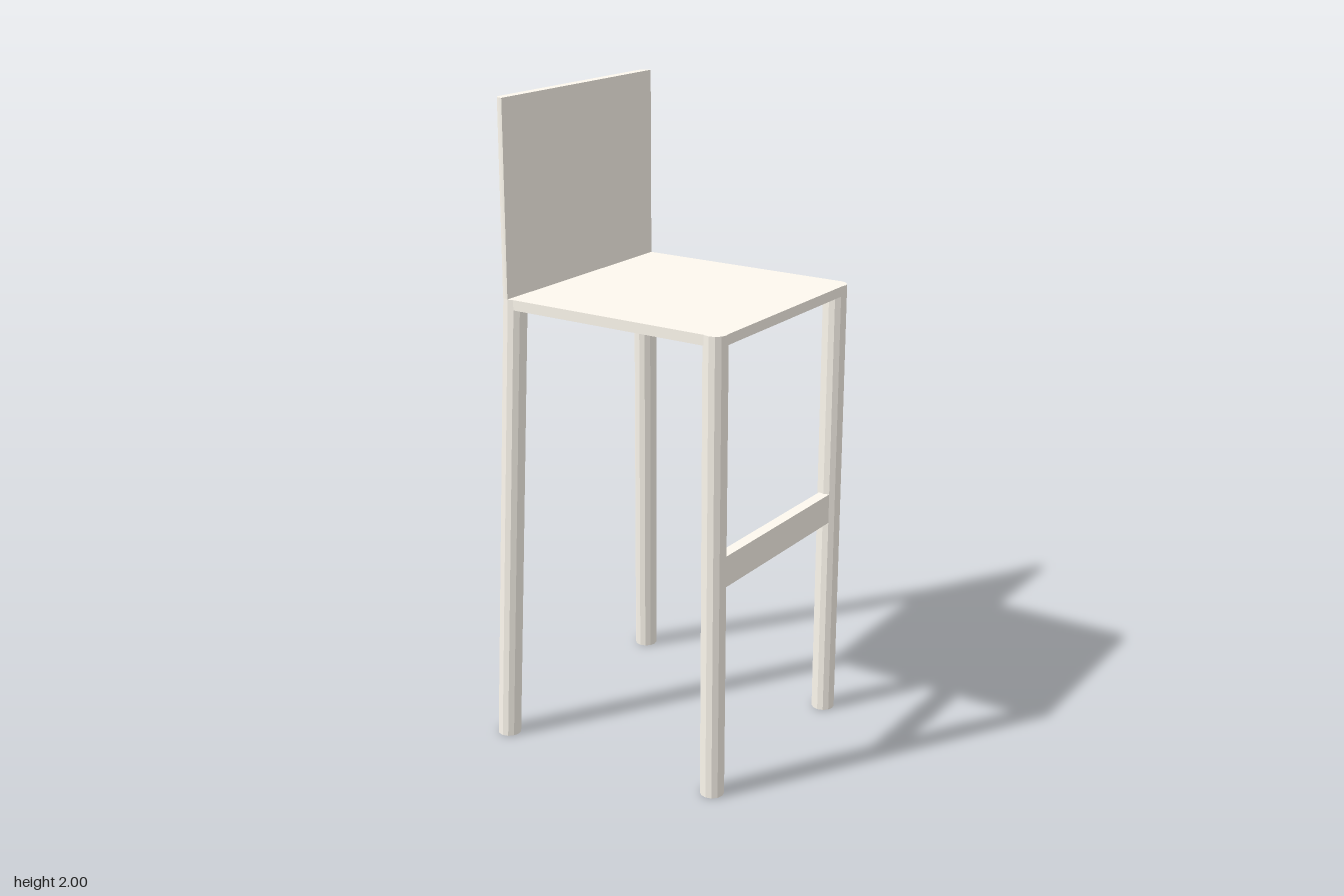
import * as THREE from 'three';

const R = 0.036, SEAT_BOTTOM = 1.385, SEAT_TOP = 1.416;

export function createModel() {
  const model = new THREE.Group();
  const color = 0xfdf8ee;
  const mat = new THREE.MeshStandardMaterial({ color });
  const legMat = new THREE.MeshStandardMaterial({ color, flatShading: true });

  const add = (name, geo, material = mat) => {
    const mesh = new THREE.Mesh(geo, material);
    mesh.name = name;
    model.add(mesh);
  };

  // Flat outline in x/z with rounded corners (back pair, front pair), raised from y0 to y1
  const slab = (x0, x1, z0, z1, rBack, rFront, y0, y1) => {
    const s = new THREE.Shape();
    const a = -z1, b = -z0; // shape y becomes -z once laid flat
    s.moveTo(x0 + rBack, a);
    s.lineTo(x1 - rFront, a);
    if (rFront) s.absarc(x1 - rFront, a + rFront, rFront, -Math.PI / 2, 0);
    s.lineTo(x1, b - rFront);
    if (rFront) s.absarc(x1 - rFront, b - rFront, rFront, 0, Math.PI / 2);
    s.lineTo(x0 + rBack, b);
    s.absarc(x0 + rBack, b - rBack, rBack, Math.PI / 2, Math.PI);
    s.lineTo(x0, a + rBack);
    s.absarc(x0 + rBack, a + rBack, rBack, Math.PI, Math.PI * 1.5);
    const geo = new THREE.ExtrudeGeometry(s, { depth: y1 - y0, bevelEnabled: false, curveSegments: 4 });
    return geo.rotateX(-Math.PI / 2).translate(0, y0, 0);
  };

  // Round leg leaning from its foot to the seat corner, with level ends
  const leg = (name, foot, top) => {
    const geo = new THREE.CylinderGeometry(R, R, SEAT_TOP, 12).translate(0, SEAT_TOP / 2, 0);
    const p = geo.attributes.position;
    for (let i = 0; i < p.count; i++) {
      const t = p.getY(i) / SEAT_TOP;
      p.setX(i, p.getX(i) + foot[0] + (top[0] - foot[0]) * t);
      p.setZ(i, p.getZ(i) + foot[1] + (top[1] - foot[1]) * t);
    }
    geo.computeVertexNormals();
    add(name, geo, legMat);
  };

  // Seat and backrest
  add('seat', slab(-0.355, 0.408, -0.357, 0.377, 0.034, 0.034, SEAT_BOTTOM, SEAT_TOP));
  add('backrest', slab(-0.356, -0.325, -0.357, 0.38, 0.028, 0, SEAT_TOP, 2));

  // Upright front legs and splayed back legs
  leg('frontLegLeft', [0.375, 0.347], [0.375, 0.347]);
  leg('frontLegRight', [0.375, -0.32], [0.375, -0.32]);
  leg('backLegLeft', [-0.363, 0.387], [-0.323, 0.345]);
  leg('backLegRight', [-0.376, -0.389], [-0.323, -0.32]);

  // Footrest between the upright legs
  add('footrest', new THREE.BoxGeometry(0.036, 0.095, 0.64).translate(0.375, 0.702, 0.013));

  return model;
}
